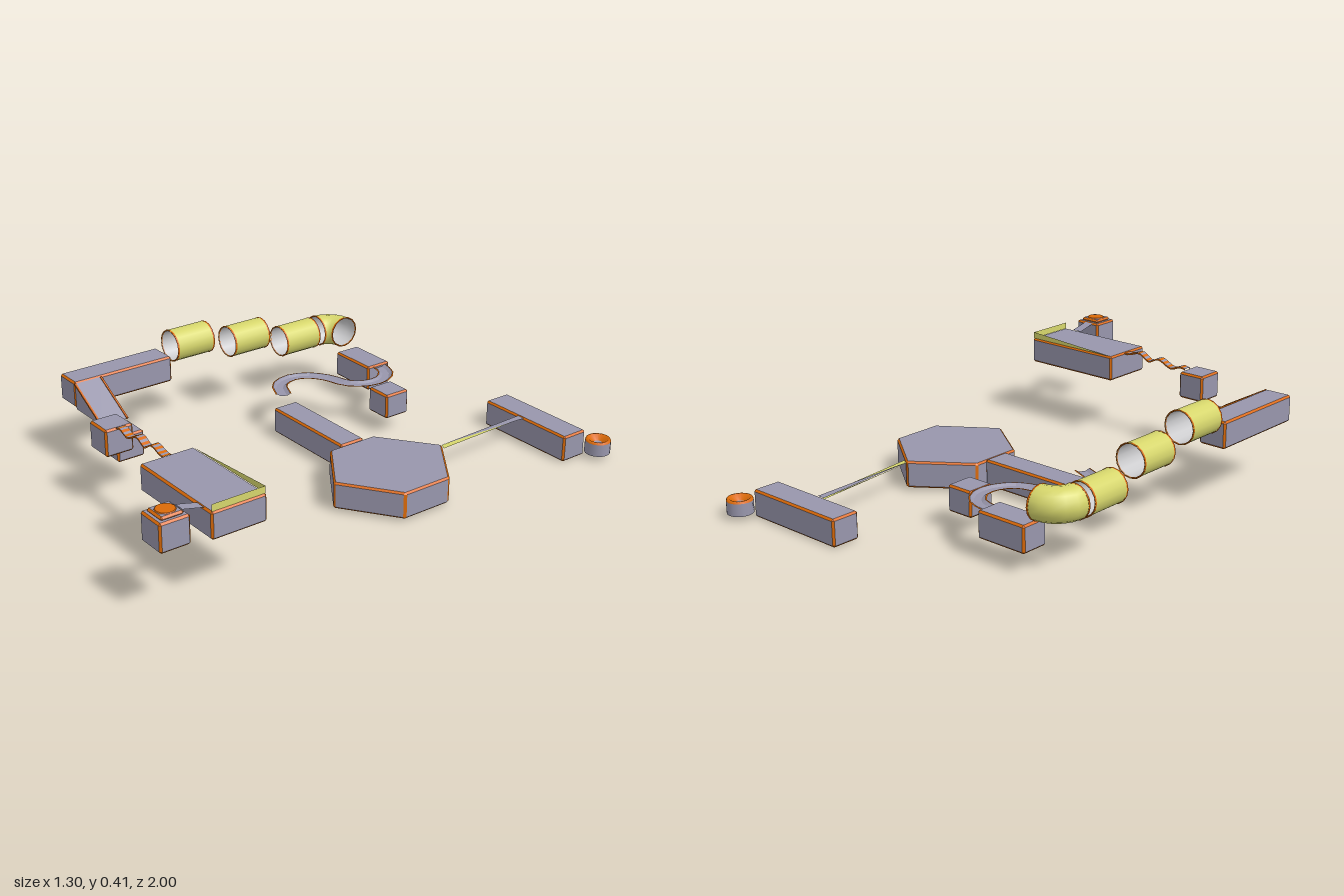
import * as THREE from 'three';

const mat = (name, color) => {
  const m = new THREE.MeshStandardMaterial({ color, side: THREE.DoubleSide });
  m.name = name;
  return m;
};

export function createModel() {
  const root = new THREE.Group();
  root.name = 'obstacleCourse';
  const grey = mat('lavender grey', 0x9896ac);
  const orange = mat('orange', 0xdb6a08);
  const yellow = mat('yellow', 0xd6d66c);
  const pale = mat('pale lining', 0xcbcbcd);

  const add = (name, geo, material, parent = root) => {
    const m = new THREE.Mesh(geo, material);
    m.name = name;
    parent.add(m);
    return m;
  };
  const group = (name) => {
    const g = new THREE.Group();
    g.name = name;
    root.add(g);
    return g;
  };
  // Flat-shaded surface from a list of convex polygons
  const faces = (polys) => {
    const pos = [];
    for (const p of polys)
      for (let i = 1; i < p.length - 1; i++) pos.push(...p[0], ...p[i], ...p[i + 1]);
    const g = new THREE.BufferGeometry();
    g.setAttribute('position', new THREE.Float32BufferAttribute(pos, 3));
    g.computeVertexNormals();
    return g;
  };

  // Open-bottomed platform over an outline of [x, z] points, with bevelled orange edges
  const platform = (name, pts, y0, y1, b = 0.007) => {
    const n = pts.length, walls = [], trim = [], top = [];
    const edges = pts.map((p, i) => {
      const q = pts[(i + 1) % n], l = Math.hypot(q[0] - p[0], q[1] - p[1]);
      const d = [(q[0] - p[0]) / l, (q[1] - p[1]) / l];
      return { a: [p[0] + d[0] * b, p[1] + d[1] * b], e: [q[0] - d[0] * b, q[1] - d[1] * b], n: [d[1], -d[0]] };
    });
    const inset = pts.map((p, i) => {
      const u = edges[(i + n - 1) % n].n, v = edges[i].n;
      const k = b / (1 + u[0] * v[0] + u[1] * v[1]);
      return [p[0] - (u[0] + v[0]) * k, p[1] - (u[1] + v[1]) * k];
    });
    const at = (p, y) => [p[0], y, p[1]];
    const lo = y0 + b, hi = y1 - b;
    for (let i = 0; i < n; i++) {
      const { a, e } = edges[i], prev = edges[(i + n - 1) % n].e;
      const s = inset[i], t = inset[(i + 1) % n];
      walls.push([at(e, lo), at(a, lo), at(a, hi), at(e, hi)]);
      trim.push(
        [at(a, lo), at(prev, lo), at(prev, hi), at(a, hi)],
        [at(e, hi), at(a, hi), at(s, y1), at(t, y1)],
        [at(a, hi), at(prev, hi), at(s, y1)],
        [at(t, y0), at(s, y0), at(a, lo), at(e, lo)],
        [at(s, y0), at(prev, lo), at(a, lo)]);
      top.unshift(at(s, y1));
    }
    const g = group(name);
    add(name + 'Body', faces([...walls, top]), grey, g);
    add(name + 'Trim', faces(trim), orange, g);
    return g;
  };
  const block = (name, x0, x1, y0, y1, z0, z1) =>
    platform(name, [[x0, z0], [x1, z0], [x1, z1], [x0, z1]], y0, y1);

  // Platforms
  platform('hexArena', [[0.34, -0.386], [0.555, -0.23], [0.555, -0.025], [0.34, 0.124], [0.128, -0.025], [0.128, -0.23]], 0.015, 0.118);
  block('arenaWalkway', -0.29, 0.13, 0.02, 0.122, -0.185, -0.077);
  block('curveSideCube', -0.14, -0.03, 0.07, 0.169, -0.54, -0.43);
  block('pipeExitBlock', -0.488, -0.28, 0.075, 0.176, -0.652, -0.542);
  block('finishBlock', 0.135, 0.56, 0.004, 0.108, -0.918, -0.805);
  block('pipeEntryBlock', -0.643, -0.532, 0.233, 0.336, 0.23, 0.652);
  block('rampFootCube', -0.35, -0.239, 0.123, 0.225, 0.54, 0.652);
  block('bridgeCube', -0.241, -0.13, 0.218, 0.322, 0.647, 0.759);
  block('wideBlock', 0.173, 0.597, 0.233, 0.334, 0.595, 0.808);
  block('startCube', 0.484, 0.597, 0.249, 0.355, 0.883, 0.997);

  // Start pad on its cube
  block('startPad', 0.498, 0.584, 0.352, 0.367, 0.897, 0.983);
  add('startButton', new THREE.CylinderGeometry(0.033, 0.036, 0.004, 12), orange).position.set(0.541, 0.368, 0.94);

  // Sloped plate from the start cube to the wide block
  add('startPlank', faces([[[0.512, 0.334, 0.806], [0.512, 0.353, 0.886], [0.554, 0.353, 0.886], [0.554, 0.334, 0.806]]]), grey);

  // Low yellow guard walls rising along the wide block
  add('guardWalls', faces([
    [[0.178, 0.334, 0.599], [0.592, 0.334, 0.599], [0.592, 0.36, 0.599]],
    [[0.592, 0.334, 0.804], [0.592, 0.334, 0.599], [0.592, 0.36, 0.599], [0.592, 0.36, 0.804]],
  ]), yellow);

  // Wedge ramp down from the pipe entry block
  const rx0 = -0.532, rx1 = -0.35, ry0 = 0.23, ry1 = 0.332, rz0 = 0.542, rz1 = 0.65;
  add('wedgeRamp', faces([
    [[rx0, ry0, rz1], [rx1, ry0, rz1], [rx0, ry1, rz1]],
    [[rx1, ry0, rz0], [rx0, ry0, rz0], [rx0, ry1, rz0]],
    [[rx0, ry1, rz0], [rx0, ry1, rz1], [rx1, ry0, rz1], [rx1, ry0, rz0]],
  ]), grey);
  for (const z of [rz0, rz1]) {
    const edge = add('wedgeRampTrim', new THREE.BoxGeometry(Math.hypot(rx1 - rx0, ry1 - ry0), 0.007, 0.007), orange);
    edge.position.set((rx0 + rx1) / 2, (ry0 + ry1) / 2, z);
    edge.rotation.z = Math.atan2(ry0 - ry1, rx1 - rx0);
  }

  // Wavy bridge with striped planks
  const wave = new THREE.CatmullRomCurve3([[-0.13, 0.325], [-0.105, 0.329], [-0.06, 0.315], [0.005, 0.34],
    [0.052, 0.322], [0.1, 0.346], [0.15, 0.333], [0.175, 0.332]].map(([x, y]) => new THREE.Vector3(x, y, 0.7)));
  const planks = [[], []], ripple = wave.getSpacedPoints(28);
  for (let i = 0; i < 28; i++) {
    const p = ripple[i], q = ripple[i + 1];
    planks[i % 2].push([[p.x, p.y, 0.716], [q.x, q.y, 0.716], [q.x, q.y, 0.684], [p.x, p.y, 0.684]]);
    for (const z of [0.684, 0.716])
      planks[1].push([[p.x, p.y - 0.006, z], [q.x, q.y - 0.006, z], [q.x, q.y, z], [p.x, p.y, z]]);
  }
  add('wavyBridgePlanks', faces(planks[0]), grey);
  add('wavyBridgeStripes', faces(planks[1]), orange);

  // S-shaped shallow trough
  const bend = new THREE.CatmullRomCurve3([[-0.285, -0.6], [-0.22, -0.583], [-0.172, -0.525], [-0.172, -0.455], [-0.22, -0.387],
    [-0.31, -0.357], [-0.375, -0.308], [-0.4, -0.24], [-0.37, -0.165], [-0.285, -0.122]].map(([x, z]) => new THREE.Vector3(x, 0.17, z)));
  const steps = 20, trough = [], rims = [];
  const section = (i) => {
    const p = bend.getPointAt(i / steps), t = bend.getTangentAt(i / steps);
    return [[-0.031, 0], [-0.026, 0.001], [-0.013, -0.007], [0.013, -0.007], [0.026, 0.001], [0.031, 0]]
      .map(([w, h]) => [p.x - t.z * w, p.y + h, p.z + t.x * w]);
  };
  for (let i = 0; i < steps; i++) {
    const a = section(i), b = section(i + 1);
    for (let k = 0; k < 5; k++)
      (k === 0 || k === 4 ? rims : trough).push([a[k], a[k + 1], b[k + 1], b[k]]);
  }
  add('curvedTrough', faces(trough), grey);
  add('curvedTroughRims', faces(rims), orange);

  // Stepped pipe run with orange rims, ending in an elbow
  const R = 0.062, pipeX = -0.586;
  const ring = (parent, x, y, z, turn = 0) => {
    const r = add('pipeRim', new THREE.CylinderGeometry(R + 0.001, R + 0.001, 0.007, 16, 1, true), orange, parent);
    r.position.set(x, y, z);
    r.rotation.set(Math.PI / 2, 0, turn);
    const lip = add('pipeLip', new THREE.TorusGeometry(R - 0.001, 0.003, 4, 16), orange, parent);
    lip.position.set(x, y, z);
    lip.rotation.y = turn;
  };
  for (const [y, z0, z1] of [[0.355, 0.034, 0.202], [0.307, -0.232, -0.066], [0.246, -0.487, -0.32]]) {
    const g = group('pipe');
    for (const [name, r, m] of [['pipeShell', R, yellow], ['pipeLining', R - 0.003, pale]]) {
      const p = add(name, new THREE.CylinderGeometry(r, r, z1 - z0, 16, 1, true), m, g);
      p.position.set(pipeX, y, (z0 + z1) / 2);
      p.rotation.x = Math.PI / 2;
    }
    ring(g, pipeX, y, z0 + 0.003);
    ring(g, pipeX, y, z1 - 0.003);
  }
  const elbow = group('pipeElbow');
  for (const [name, r, m] of [['elbowShell', R, yellow], ['elbowLining', R - 0.003, pale]]) {
    const e = add(name, new THREE.TorusGeometry(0.082, r, 16, 5, Math.PI / 2), m, elbow);
    e.position.set(pipeX + 0.082, 0.247, -0.513);
    e.rotation.set(-Math.PI / 2, 0, Math.PI / 2);
  }
  ring(elbow, pipeX, 0.247, -0.515);
  ring(elbow, pipeX + 0.08, 0.247, -0.595, Math.PI / 2);

  // Narrow tapering beams between the arena and the finish block
  add('beamTop', faces([[[0.312, 0.107, -0.806], [0.34, 0.116, -0.386], [0.343, 0.107, -0.806]]]), grey);
  add('beamSide', faces([[[0.335, 0.105, -0.806], [0.338, 0.114, -0.386], [0.364, 0.114, -0.375]],
    [[0.31, 0.103, -0.806], [0.338, 0.112, -0.386], [0.32, 0.103, -0.806]]]), yellow);

  // Goal cup with a sunken orange top
  const cup = group('goalCup');
  cup.position.set(0.597, 0, -0.951);
  const lathe = (pts) => new THREE.LatheGeometry(pts.map(([r, y]) => new THREE.Vector2(r, y)), 16);
  add('cupWall', lathe([[0.049, 0.022], [0.049, 0.07]]), grey, cup);
  add('cupFunnel', lathe([[0.049, 0.07], [0.046, 0.077], [0.038, 0.077], [0.016, 0.06]]), orange, cup);
  add('cupFloor', lathe([[0.016, 0.06], [0, 0.055]]), grey, cup);

  return root;
}
